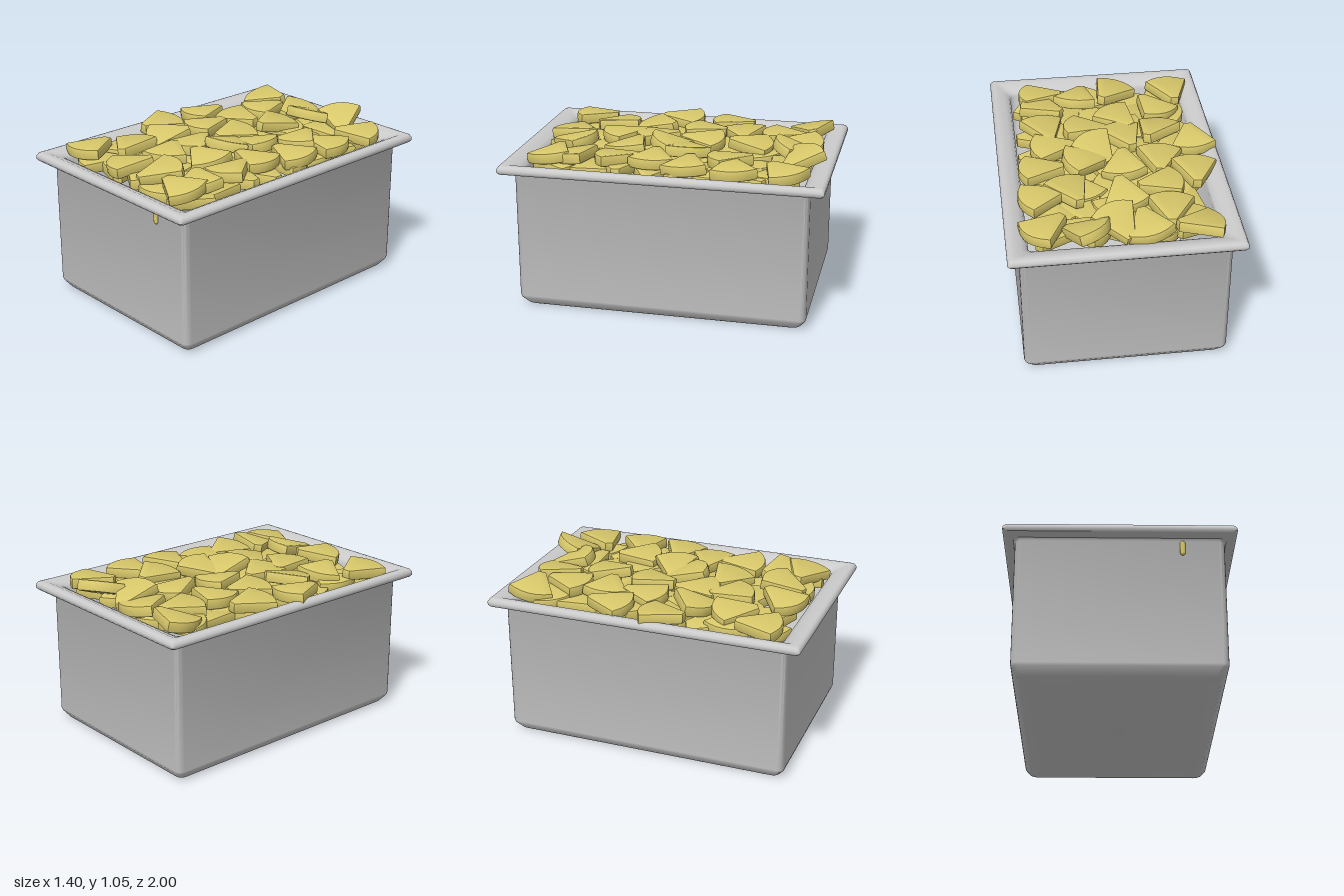
import * as THREE from 'three';
import { toCreasedNormals } from 'three/addons/utils/BufferGeometryUtils.js';

const metal = new THREE.MeshStandardMaterial({ color: 0xcccccc });
const fruit = new THREE.MeshStandardMaterial({ color: 0xd9c96b });
const CORNER_STEPS = 4;

// Corner points of a rounded rectangle at one height
function ring(hx, hz, y, r) {
  const pts = [];
  [[1, 1], [-1, 1], [-1, -1], [1, -1]].forEach(([sx, sz], q) => {
    for (let i = 0; i <= CORNER_STEPS; i++) {
      const a = (q + i / CORNER_STEPS) * Math.PI / 2;
      pts.push(sx * (hx - r) + r * Math.cos(a), y, sz * (hz - r) + r * Math.sin(a));
    }
  });
  return pts;
}

// Skin a stack of rounded rectangles, from the base up, over the rim and down inside
function loft(rings) {
  const n = 4 * (CORNER_STEPS + 1), index = [];
  for (let j = 0; j < rings.length - 1; j++) {
    for (let k = 0; k < n; k++) {
      const a = j * n + k, b = j * n + (k + 1) % n;
      index.push(a, a + n, b, b, a + n, b + n);
    }
  }
  const g = new THREE.BufferGeometry();
  g.setAttribute('position', new THREE.Float32BufferAttribute(rings.flat(), 3));
  g.setIndex(index);
  return toCreasedNormals(g, 0.8);
}

// Hollow pan: each stretch of the profile lists half-width and height
function panGeometry() {
  const stretch = (profile, extraDepth, r) => profile.map(([hx, y]) => ring(hx, hx + extraDepth, y, r));
  return loft([
    ring(0, 0, 0, 0),
    ...stretch([[0.58, 0], [0.592, 0.008], [0.625, 0.052], [0.63, 0.07], [0.63, 0.87], [0.64, 0.885]], 0.28, 0.04),
    ...stretch([[0.69, 0.888], [0.7, 0.9], [0.7, 0.918], [0.69, 0.935], [0.675, 0.94], [0.645, 0.938]], 0.3, 0.02),
    ...stretch([[0.61, 0.92], [0.58, 0.905], [0.57, 0.88], [0.57, 0.09], [0.53, 0.04]], 0.29, 0.04),
    ring(0, 0, 0.04, 0),
  ]);
}

// Wedge slice lying flat: blunt tip at -x, curved rind at +x
function wedgeGeometry() {
  const s = new THREE.Shape();
  s.moveTo(-0.135, -0.02);
  s.lineTo(0.085, -0.13);
  s.quadraticCurveTo(0.175, 0, 0.085, 0.13);
  s.lineTo(-0.135, 0.02);
  s.closePath();
  const g = new THREE.ExtrudeGeometry(s, {
    depth: 0.045, bevelEnabled: true, bevelSize: 0.01, bevelThickness: 0.012, bevelSegments: 2, curveSegments: 6,
  });
  g.translate(0, 0, -0.0225);
  g.rotateX(-Math.PI / 2);
  return toCreasedNormals(g, 0.7);
}

// Top slices by row, back to front: x, z, heading and rind lift in degrees
const rows = [
  [[-0.45, -0.79, 172, -6], [-0.14, -0.76, -98], [0.03, -0.74, 66, 18], [0.24, -0.8, -139, 22], [0.46, -0.72, -38]],
  [[-0.3, -0.62, 97], [-0.28, -0.36, 172], [-0.04, -0.45, -96, -6], [0.28, -0.37, 71], [0.46, -0.42, -13]],
  [[-0.51, -0.25, 94], [-0.31, -0.1, 97], [-0.08, -0.13, -86], [0.07, 0.04, 61, 14], [0.16, -0.08, -12, 10], [0.44, -0.13, 0]],
  [[-0.55, 0.1, -90], [-0.33, 0.22, 119, -8], [-0.12, 0.18, 74], [0.35, 0.1, -4], [0.12, 0.3, 13], [0.38, 0.32, 78]],
  [[-0.36, 0.5, -118], [-0.11, 0.4, 57], [0.37, 0.58, 36]],
  [[-0.5, 0.7, 83], [-0.1, 0.72, 122, -6], [0.13, 0.67, -72, 12], [0.38, 0.73, 5]],
];

export function createModel() {
  const model = new THREE.Group();
  const add = (geometry, material, name, parent = model) => {
    const m = new THREE.Mesh(geometry, material);
    m.name = name;
    parent.add(m);
    return m;
  };
  add(panGeometry(), metal, 'pan');

  const pile = new THREE.Group();
  pile.name = 'fruitSlices';
  model.add(pile);
  const wedge = wedgeGeometry();
  let seed = 7;
  const rand = () => (seed = (seed * 16807) % 2147483647) / 2147483647;

  // Turn a slice to its heading, lift its rind and roll it slightly
  const laySlice = (name, x, y, z, heading, lift, roll) => {
    const m = add(wedge, fruit, name, pile);
    const rad = THREE.MathUtils.degToRad;
    m.position.set(x, y, z);
    m.rotation.set(rad(roll), -rad(heading), rad(lift), 'YZX');
  };
  for (const [x, z, heading, lift = 0] of rows.flat()) {
    laySlice('topSlice', x, 0.948 + Math.abs(lift) * 0.001, z, heading, lift, (rand() - 0.5) * 20);
  }

  // Lower layer filling the gaps
  for (let i = 0; i < 5; i++) {
    for (let j = 0; j < 8; j++) {
      laySlice('lowerSlice', -0.42 + i * 0.21, 0.87 + rand() * 0.03, -0.7 + j * 0.2,
        rand() * 360, (rand() - 0.5) * 6, (rand() - 0.5) * 6);
    }
  }

  // Drip on the front wall
  const drip = add(new THREE.CapsuleGeometry(0.016, 0.065, 5, 12), fruit, 'drip');
  drip.position.set(0.375, 0.822, 0.912);
  drip.scale.z = 0.7;

  return model;
}
